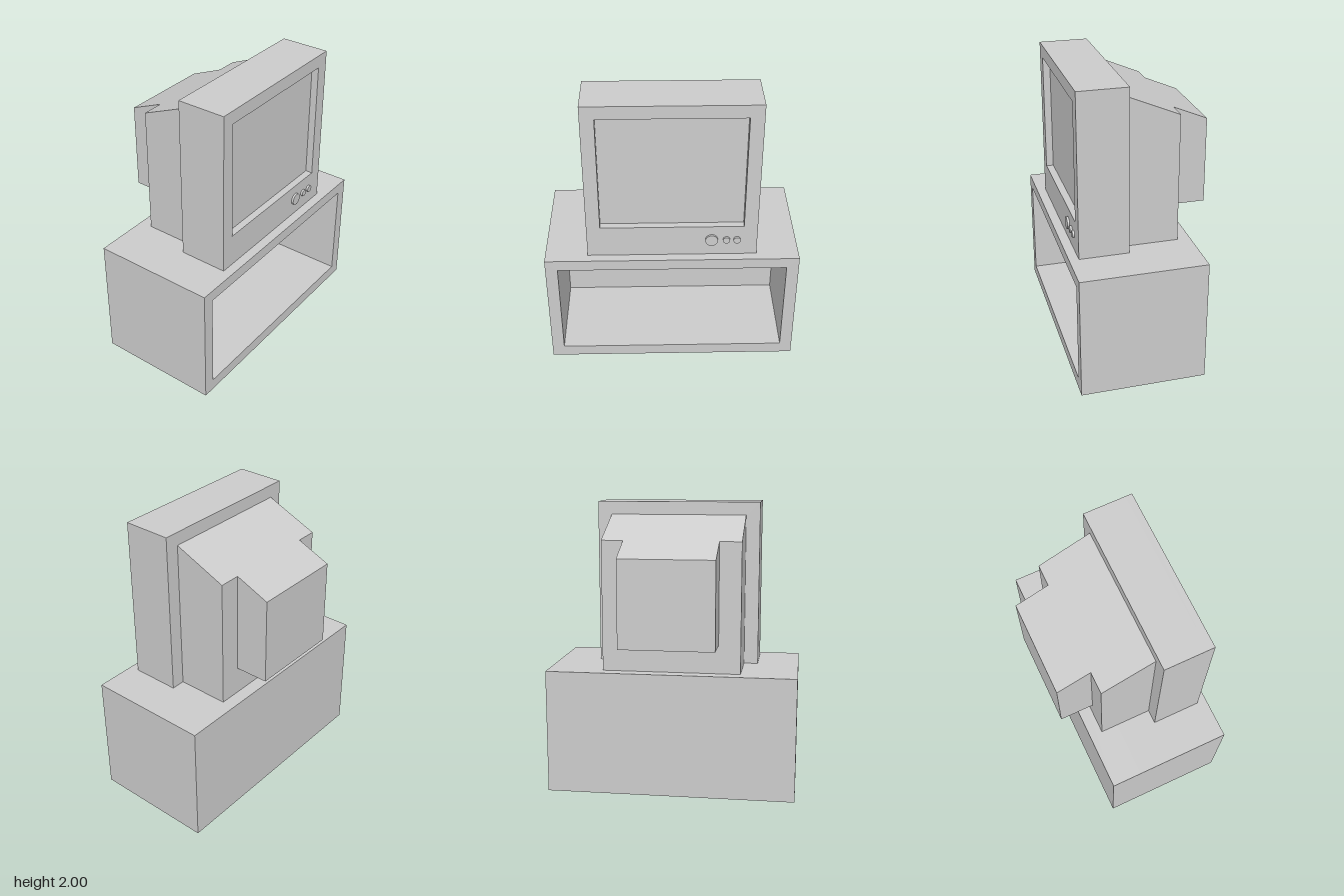
import * as THREE from 'three';

const material = new THREE.MeshStandardMaterial({ color: 0xcccccc, flatShading: true });
const smooth = new THREE.MeshStandardMaterial({ color: 0xcccccc });

function add(group, name, geometry, mat = material) {
  const mesh = new THREE.Mesh(geometry, mat);
  mesh.name = name;
  group.add(mesh);
  return mesh;
}

// Corners of a rectangle, mirrored about the centre line
const rect = (half, y0, y1) =>
  [[-half, y0], [half, y0], [half, y1], [-half, y1]].map(p => new THREE.Vector2(...p));

// Box along x with a rectangular opening in its +x face, closed by a back panel
function openBox(name, { x0, xBack, x1, half, y0, y1, hole }) {
  const group = new THREE.Group();
  group.name = name;
  const shape = new THREE.Shape(rect(half, y0, y1));
  shape.holes.push(new THREE.Path(rect(...hole)));
  const frame = new THREE.ExtrudeGeometry(shape, { depth: x1 - xBack, bevelEnabled: false });
  frame.rotateY(Math.PI / 2).translate(xBack, 0, 0);
  add(group, name + 'Frame', frame);
  const back = new THREE.BoxGeometry(xBack - x0, y1 - y0, half * 2);
  add(group, name + 'Back', back).position.set((x0 + xBack) / 2, (y0 + y1) / 2, 0);
  return group;
}

// Height of the sloping rear roof at a given x
const roof = x => 1.91 + (x - 0.095) * (0.255 / 0.6);

// Rear housing block with a sloping top
function slopedBlock(x0, x1, y0, half) {
  const shape = new THREE.Shape([[x0, y0], [x1, y0], [x1, roof(x1)], [x0, roof(x0)]]
    .map(p => new THREE.Vector2(...p)));
  return new THREE.ExtrudeGeometry(shape, { depth: half * 2, bevelEnabled: false })
    .translate(0, 0, -half);
}

export function createModel() {
  const model = new THREE.Group();
  model.name = 'televisionOnCabinet';

  // Hollow cabinet, open towards +x
  model.add(openBox('cabinet', {
    x0: -0.36, xBack: -0.15, x1: 0.5, half: 0.86, y0: 0, y1: 0.86, hole: [0.777, 0.082, 0.782],
  }));

  // Television casing with a recessed screen
  const tv = new THREE.Group();
  tv.name = 'television';
  model.add(tv);
  tv.add(openBox('screenCasing', {
    x0: 0.095, xBack: 0.385, x1: 0.435, half: 0.572, y0: 0.86, y1: 2, hole: [0.48, 1.087, 1.91],
  }));

  // Stepped rear housing
  add(tv, 'rearHousing', slopedBlock(-0.27, 0.095, 0.86, 0.475));
  add(tv, 'tubeHousing', slopedBlock(-0.505, -0.27, 1.055, 0.325));

  // Control knobs
  for (const [z, r] of [[-0.265, 0.042], [-0.365, 0.024], [-0.436, 0.024]]) {
    const knob = new THREE.CylinderGeometry(r, r, 0.03, 32).rotateZ(-Math.PI / 2);
    add(tv, 'knob', knob, smooth).position.set(0.435, 0.98, z);
  }
  return model;
}
